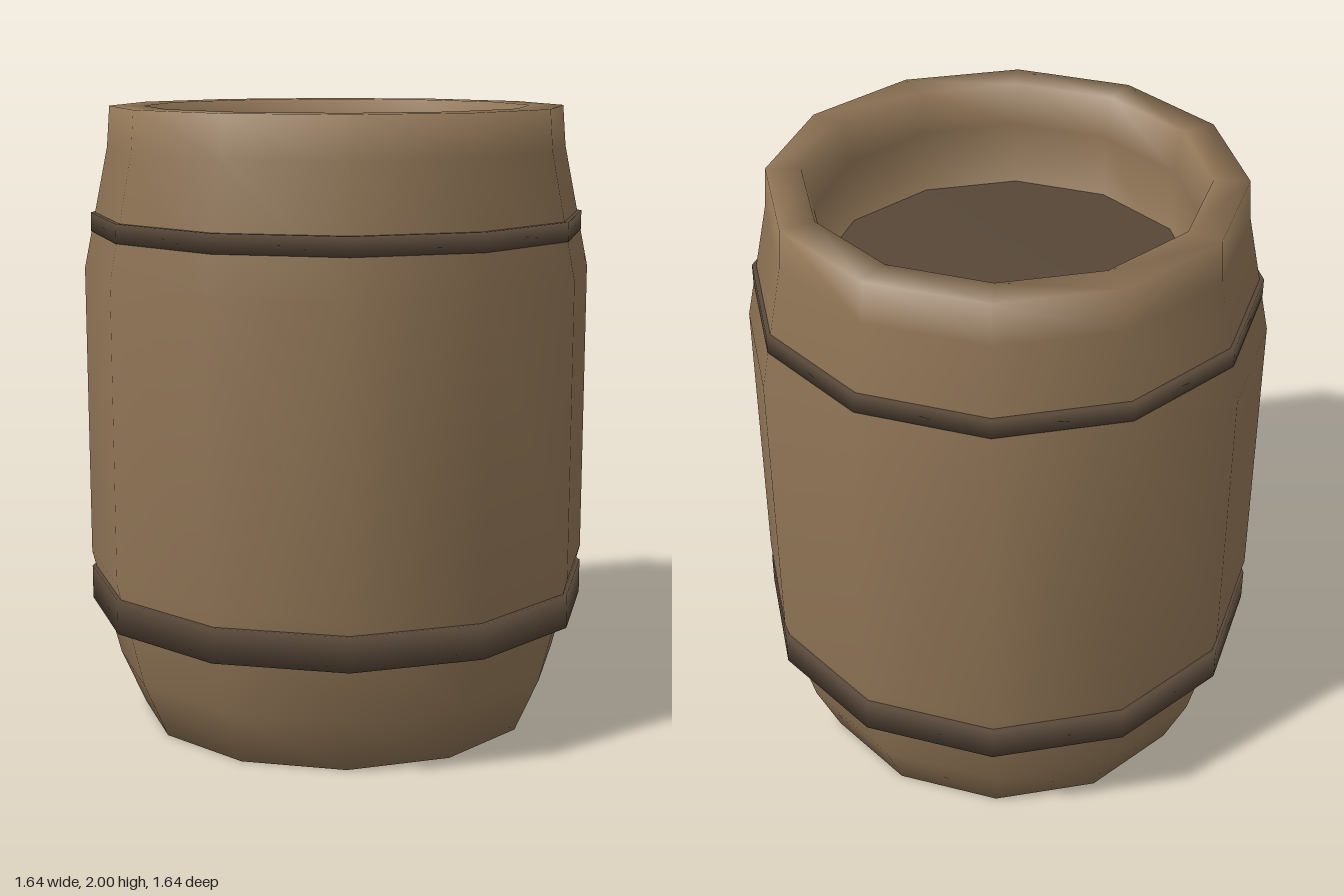
import * as THREE from 'three';

const SIDES = 12;

// Smooth twelve-sided solid turned from [radius, height] points, listed bottom to top
function turned(name, points, material) {
  const profile = points.map(([r, y]) => new THREE.Vector2(r, y));
  const mesh = new THREE.Mesh(new THREE.LatheGeometry(profile, SIDES), material);
  mesh.name = name;
  return mesh;
}

export function createModel() {
  const wood = new THREE.MeshStandardMaterial({ color: 0x8f7455 });
  wood.name = 'wood';
  const darkBand = new THREE.MeshStandardMaterial({ color: 0x574738 });
  darkBand.name = 'dark band';

  const group = new THREE.Group();
  group.name = 'barrel';

  // Bulging outside, flat rim, then down the hollow to a floor hidden by the upper band
  group.add(turned('barrelBody', [
    [0, 0], [0.65, 0], [0.73, 0.18], [0.82, 0.53], [0.82, 1.48],
    [0.74, 1.87], [0.73, 2], [0.62, 2], [0.59, 1.87], [0.59, 1.5], [0, 1.5],
  ], wood));

  // Bands are solid discs; the upper one also closes the hollow
  const bands = [
    ['lowerBand', 0.82, 0.37, 0.48],
    ['upperBand', 0.797, 1.6, 1.66],
  ];
  for (const [name, r, bottom, top] of bands) {
    group.add(turned(name, [[0, bottom], [r, bottom], [r, top], [0, top]], darkBand));
  }
  return group;
}
